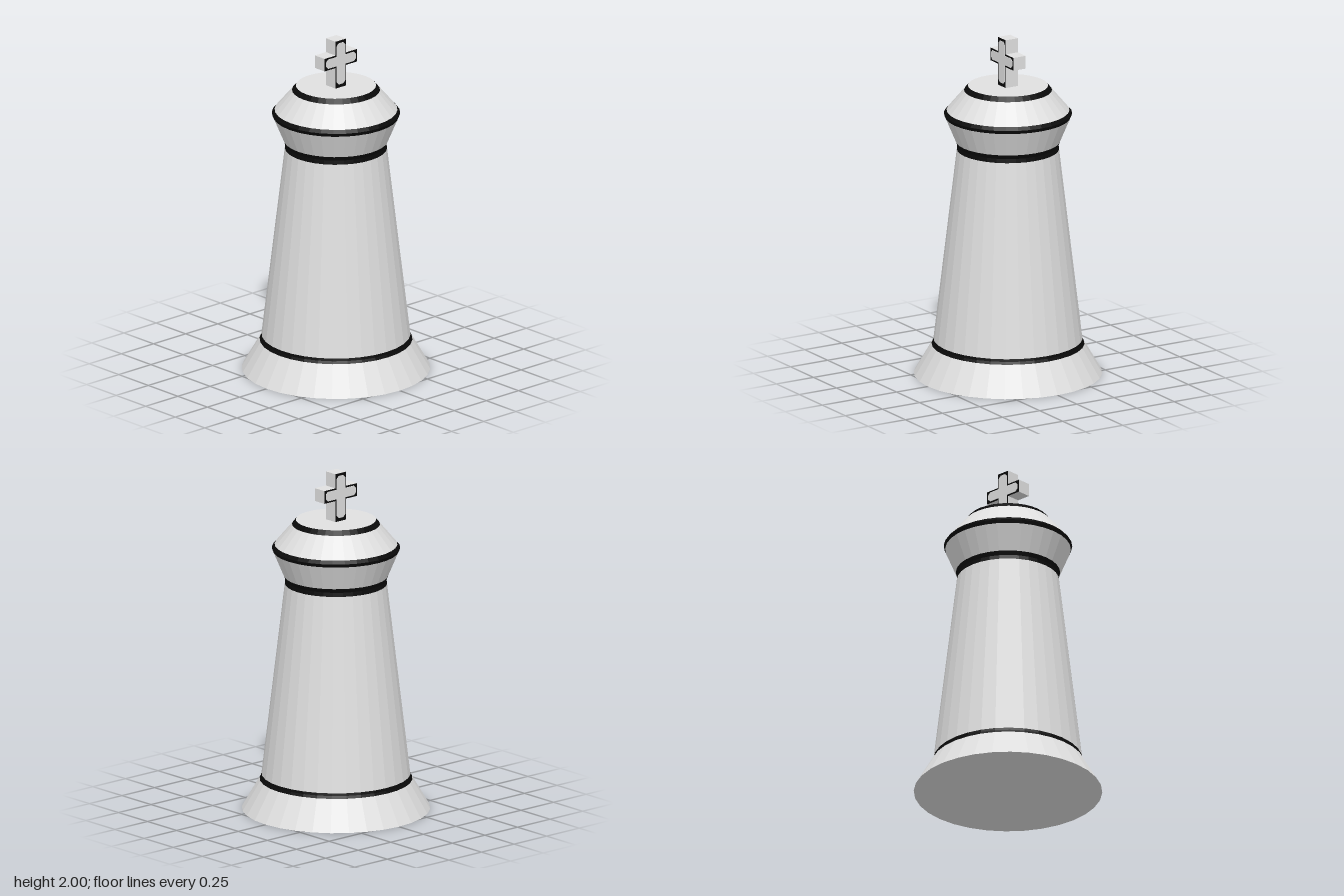
import * as THREE from 'three';

const SIDES = 32;

export function createModel() {
  const group = new THREE.Group();
  const stone = new THREE.MeshStandardMaterial({ color: 0xe0e0e0 });
  const ink = new THREE.MeshStandardMaterial({ color: 0x0a0a0a });
  stone.name = 'light grey';
  ink.name = 'black';
  stone.flatShading = ink.flatShading = true;

  function add(name, geometry, material) {
    const mesh = new THREE.Mesh(geometry, material);
    mesh.name = name;
    group.add(mesh);
    return mesh;
  }

  // Turned body: each section runs from one [radius, height] to the next
  const sections = [
    ['base', stone, 0.54, 0],
    ['baseBandLower', ink, 0.438, 0.175],
    ['baseBandUpper', ink, 0.43, 0.19],
    ['body', stone, 0.427, 0.205],
    ['neckBandLower', ink, 0.293, 1.336],
    ['neckBandUpper', ink, 0.29, 1.36],
    ['collar', stone, 0.299, 1.384],
    ['headBandLower', ink, 0.36, 1.53],
    ['headBandUpper', ink, 0.368, 1.55],
    ['head', stone, 0.352, 1.569],
    ['crownBand', ink, 0.252, 1.688],
    ['end', null, 0.23, 1.715],
  ];
  for (let i = 0; i < sections.length - 1; i++) {
    const [name, material, r0, y0] = sections[i];
    const [, , r1, y1] = sections[i + 1];
    const ring = new THREE.CylinderGeometry(r1, r0, y1 - y0, SIDES, 1, true);
    add(name, ring.translate(0, (y0 + y1) / 2, 0), material);
  }

  // Flat top and underside
  const disc = (r, angle) =>
    new THREE.CircleGeometry(r, SIDES).rotateX(angle);
  add('topDisc', disc(0.23, -Math.PI / 2).translate(0, 1.715, 0), stone);
  add('underside', disc(0.54, Math.PI / 2), stone);

  // Cross: black front and back faces, light edges
  const w = 0.041, a = 0.126, low = 1.84, high = 1.916;
  const outline = new THREE.Shape([
    [-w, 1.715], [w, 1.715], [w, low], [a, low], [a, high], [w, high],
    [w, 2], [-w, 2], [-w, high], [-a, high], [-a, low], [-w, low],
  ].map(([x, y]) => new THREE.Vector2(x, y)));
  const cross = new THREE.ExtrudeGeometry(outline, { depth: 2 * w, bevelEnabled: false });
  add('cross', cross.translate(0, 0, -w), [ink, stone]);

  // Light inlay with softened tips on both faces of the cross
  const v = 0.032, h = 0.115, b = 1.85, t = 1.906, c = 0.015;
  const inlay = new THREE.Shape([
    [-v + c, 1.735], [v - c, 1.735], [v, 1.735 + c], [v, b], [h - c, b],
    [h, b + c], [h, t - c], [h - c, t], [v, t], [v, 1.985 - c],
    [v - c, 1.985], [-v + c, 1.985], [-v, 1.985 - c], [-v, t], [-h + c, t],
    [-h, t - c], [-h, b + c], [-h + c, b], [-v, b], [-v, 1.735 + c],
  ].map(([x, y]) => new THREE.Vector2(x, y)));
  for (const side of [1, -1]) {
    const plate = new THREE.ExtrudeGeometry(inlay, { depth: 0.003, bevelEnabled: false });
    plate.translate(0, 0, w);
    if (side < 0) plate.rotateY(Math.PI);
    add(side > 0 ? 'frontInlay' : 'backInlay', plate, stone);
  }

  return group;
}
